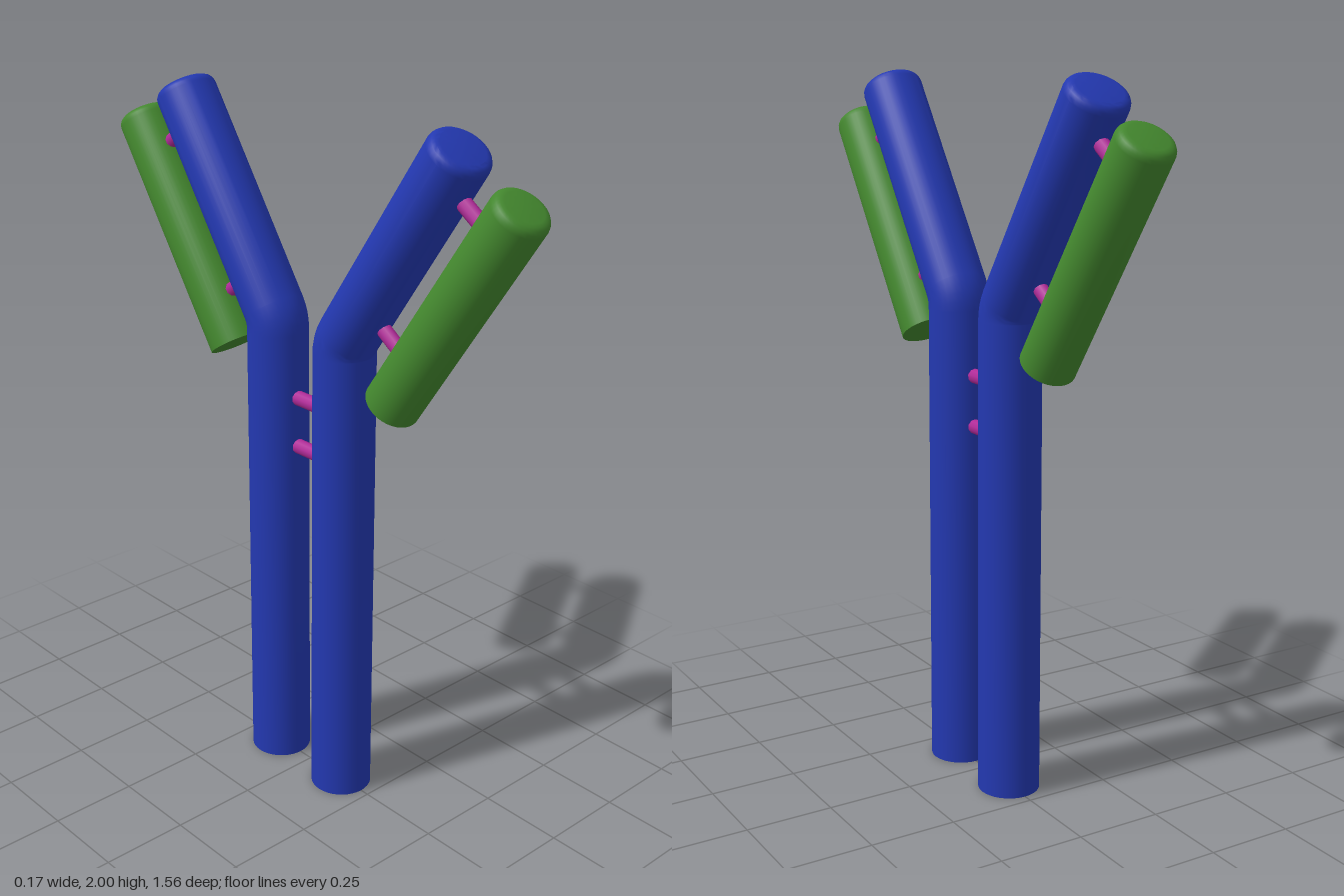
import * as THREE from 'three';
import { toCreasedNormals } from 'three/addons/utils/BufferGeometryUtils.js';

const TILT = 0.597;    // lean of the arms from vertical
const BEND = 1.378;    // height of the elbow
const STEM_Z = 0.135;

// Rod profile: flat bottom, rounded top rim, extra heights as rings
function rodGeometry(radius, height, rim, rings = []) {
  const points = [new THREE.Vector2(0, 0), new THREE.Vector2(radius, 0)];
  rings.forEach((y) => points.push(new THREE.Vector2(radius, y)));
  for (let i = 0; i <= 4; i++) {
    const a = (i / 4) * Math.PI / 2;
    points.push(new THREE.Vector2(radius - rim + rim * Math.cos(a), height - rim + rim * Math.sin(a)));
  }
  points.push(new THREE.Vector2(0, height));
  return new THREE.LatheGeometry(points, 36);
}

// Long rod bent towards +z along a short arc at the elbow
function heavyChainGeometry() {
  const half = 0.03;
  const rings = [-1, -0.5, 0, 0.5, 1].map((t) => BEND + t * half);
  const geometry = rodGeometry(0.0875, BEND + 0.702, 0.025, rings);
  const p = geometry.attributes.position;
  const arcRadius = 2 * half / TILT;
  const start = BEND - half;
  for (let i = 0; i < p.count; i++) {
    const s = p.getY(i);
    const z = p.getZ(i) * (1.01 - 0.06 * Math.min(s / BEND, 1));
    const a = THREE.MathUtils.clamp((s - start) / arcRadius, 0, TILT);
    const beyond = Math.max(0, s - BEND - half);
    const y0 = Math.min(s, start) + arcRadius * Math.sin(a) + beyond * Math.cos(a);
    const z0 = arcRadius * (1 - Math.cos(a)) + beyond * Math.sin(a);
    p.setXYZ(i, p.getX(i), y0 - z * Math.sin(a), z0 + z * Math.cos(a));
  }
  return toCreasedNormals(geometry, 0.6);
}

export function createModel() {
  const blue = new THREE.MeshStandardMaterial({ color: 0x2338b0 });
  blue.name = 'blue';
  const green = new THREE.MeshStandardMaterial({ color: 0x43872e });
  green.name = 'green';
  const magenta = new THREE.MeshStandardMaterial({ color: 0xb02a98 });
  magenta.name = 'magenta';

  const model = new THREE.Group();
  model.name = 'antibody';

  const add = (parent, name, geometry, material, y, z, tilt = 0) => {
    const mesh = new THREE.Mesh(geometry, material);
    mesh.name = name;
    mesh.position.set(0, y, z);
    mesh.rotation.x = tilt;
    parent.add(mesh);
  };

  const heavy = heavyChainGeometry();
  const light = toCreasedNormals(rodGeometry(0.077, 0.725, 0.025), 0.6);
  const shortBond = new THREE.CylinderGeometry(0.021, 0.021, 0.1, 10);
  const longBond = new THREE.CylinderGeometry(0.021, 0.021, 0.16, 10);

  // Two matching halves, back to back
  for (const [name, turn] of [['frontHalf', 0], ['backHalf', Math.PI]]) {
    const side = new THREE.Group();
    side.name = name;
    side.rotation.y = turn;
    add(side, 'heavyChain', heavy, blue, 0, STEM_Z);
    add(side, 'lightChain', light, green, 1.257, 0.318, TILT);
    add(side, 'upperArmBond', shortBond, magenta, 1.814, 0.562, TILT + Math.PI / 2);
    add(side, 'lowerArmBond', shortBond, magenta, 1.432, 0.307, TILT + Math.PI / 2);
    model.add(side);
  }

  // Bonds joining the two stems
  for (const y of [1.02, 1.165]) add(model, 'hingeBond', longBond, magenta, y, 0, Math.PI / 2);

  return model;
}
